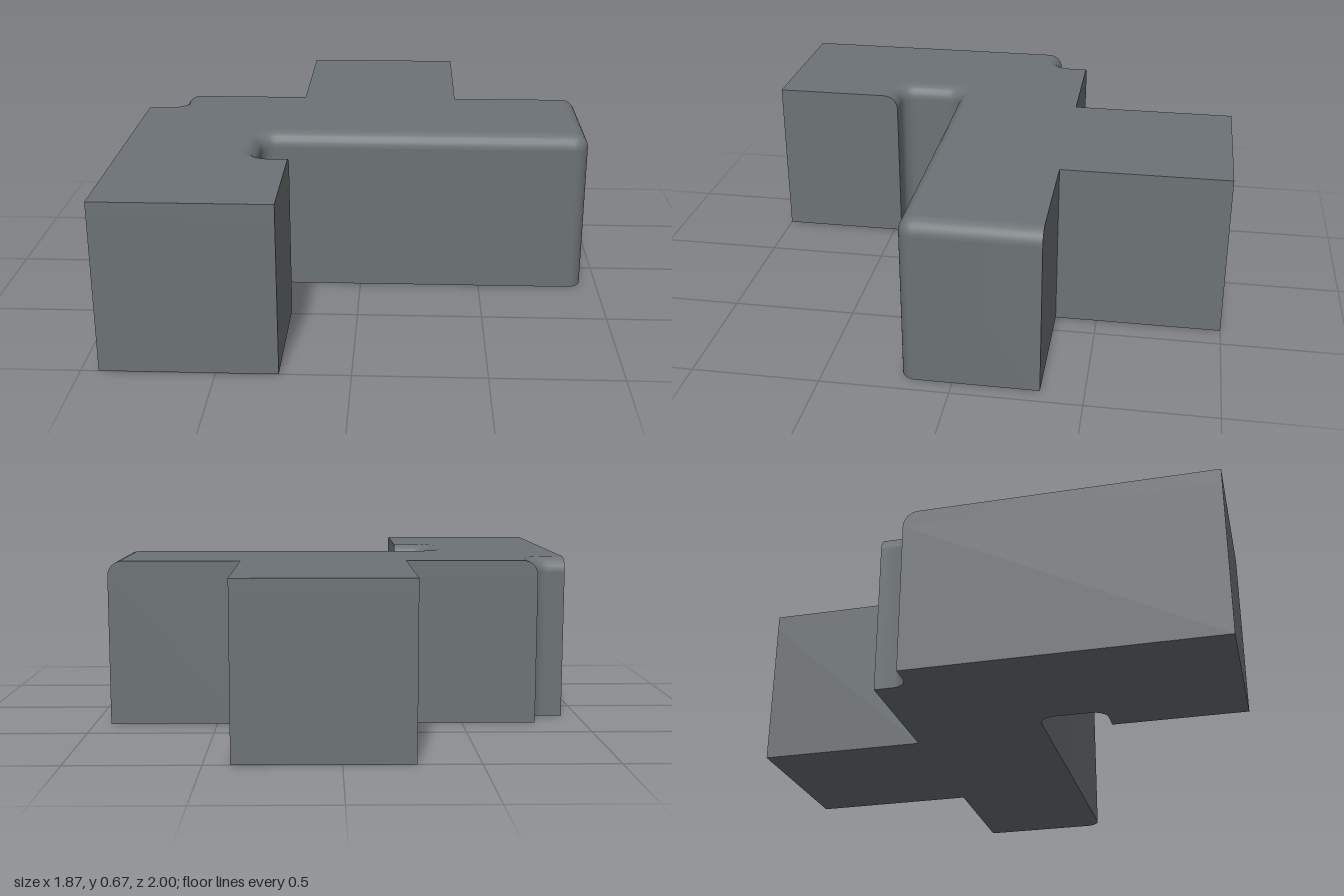
import * as THREE from 'three';
import { toCreasedNormals } from 'three/addons/utils/BufferGeometryUtils.js';

const H = 0.667; // height
const R = 0.06;  // radius of all rounded edges
const STEPS = 10;

// Quarter arc in plan (x, z), from angle a to b
function arc(x, z, radius, a, b) {
  return Array.from({ length: STEPS + 1 }, (_, i) => {
    const t = a + (b - a) * i / STEPS;
    return [x + radius * Math.cos(t), z + radius * Math.sin(t)];
  });
}

// Plan outline; the rounded-over edges move into the body by d
function outline(d) {
  const q = Math.PI / 2;
  return [
    // Long arm, then the notch beside the front leg
    [0.933 - d, -0.333],
    ...arc(0.933 - R, 0.2 - R, R - d, 0, q),
    ...arc(-0.4 + R, 0.2 + R, R + d, -q, -2 * q),
    ...arc(-0.4 + R, 0.467 - R, R + d, 2 * q, q),
    [-0.267, 0.467 + d],
    // Front leg
    [-0.267, 1], [-0.933, 1],
    // Small rear corner notch
    [-0.933, -0.2 + d],
    ...arc(-0.8 - R, -0.2 - R, R + d, q, 0),
    [-0.8 + d, -0.333],
    // Rear arm
    [-0.267, -0.333], [-0.267, -1], [0.4, -1], [0.4, -0.333],
  ];
}

// Skin between stacked outlines, given as { d, y } levels
function loft(levels) {
  const rings = levels.map(({ d, y }) => outline(d).map(([x, z]) => new THREE.Vector3(x, y, z)));
  const points = [];
  for (let k = 0; k + 1 < rings.length; k++) {
    const low = rings[k], high = rings[k + 1], n = low.length;
    for (let i = 0; i < n; i++) {
      const j = (i + 1) % n;
      points.push(low[i], high[i], high[j], low[i], high[j], low[j]);
    }
  }
  return toCreasedNormals(new THREE.BufferGeometry().setFromPoints(points), Math.PI / 6);
}

// Flat face; sign 1 looks up, -1 looks down
function cap(d, y, sign) {
  const shape = new THREE.Shape(outline(d).map(([x, z]) => new THREE.Vector2(x, -sign * z)));
  return new THREE.ShapeGeometry(shape).rotateX(-sign * Math.PI / 2).translate(0, y, 0);
}

export function createModel() {
  const model = new THREE.Group();
  model.name = 'branchedBlock';
  const grey = new THREE.MeshStandardMaterial({ color: 0x6c7275 });
  grey.name = 'slateGrey';

  const add = (name, geometry) => {
    const mesh = new THREE.Mesh(geometry, grey);
    mesh.name = name;
    model.add(mesh);
  };

  const roundLevels = Array.from({ length: STEPS + 1 }, (_, i) => {
    const t = i / STEPS * Math.PI / 2;
    return { d: R * (1 - Math.cos(t)), y: H - R + R * Math.sin(t) };
  });

  add('sideWalls', loft([{ d: 0, y: 0 }, { d: 0, y: H - R }]));
  add('roundedTopEdge', loft(roundLevels));
  add('topFace', cap(R, H, 1));
  add('bottomFace', cap(0, 0, -1));
  return model;
}
